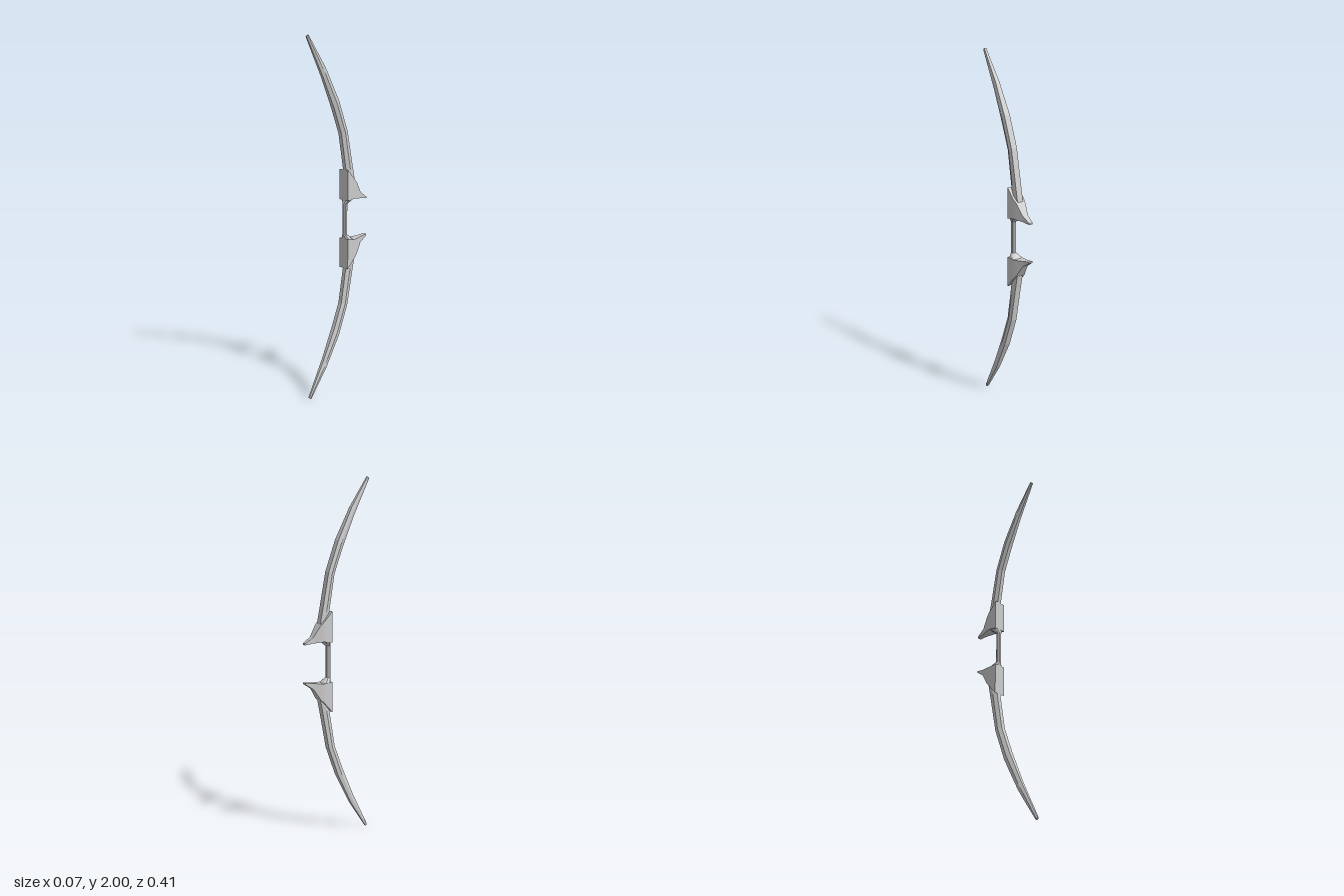
import * as THREE from 'three';

const material = new THREE.MeshStandardMaterial({ color: 0xcccccc, flatShading: true });

// Skins a list of rings (counter-clockwise about the direction of travel) and caps both ends
function loft(name, rings) {
  const n = rings[0].length, pos = [];
  const tri = (a, b, c) => pos.push(...a, ...b, ...c);
  for (let i = 0; i < rings.length - 1; i++) {
    for (let j = 0; j < n; j++) {
      const k = (j + 1) % n, p = rings[i], q = rings[i + 1];
      tri(p[j], p[k], q[k]);
      tri(p[j], q[k], q[j]);
    }
  }
  const first = rings[0], last = rings[rings.length - 1];
  for (let j = 1; j < n - 1; j++) {
    tri(first[0], first[j + 1], first[j]);
    tri(last[0], last[j], last[j + 1]);
  }
  const geometry = new THREE.BufferGeometry();
  geometry.setAttribute('position', new THREE.Float32BufferAttribute(pos, 3));
  geometry.computeVertexNormals();
  const mesh = new THREE.Mesh(geometry, material);
  mesh.name = name;
  return mesh;
}

// Mirrors rings about the middle height; reversing their order keeps faces outward
const mirrored = (rings) => rings.map((r) => r.map(([x, y, z]) => [x, 2 - y, z])).reverse();

// Limb stations: front z, front y, back z, back y, half width
const limbStations = [
  [-0.068, 1.18, -0.118, 1.2, 0.023],
  [-0.055, 1.28, -0.1, 1.29, 0.023],
  [-0.022, 1.48, -0.062, 1.49, 0.023],
  [0.03, 1.62, 0.0, 1.66, 0.023],
  [0.105, 1.79, 0.088, 1.835, 0.016],
  [0.206, 1.99, 0.195, 2.0, 0.008],
];
// Six-sided section with bevelled sides
const limbRings = limbStations.map(([fz, fy, bz, by, w]) => {
  const my = (fy + by) / 2, mz = (fz + bz) / 2;
  const f = w * 0.55, b = w * 0.8;
  return [[f, fy, fz], [w, my, mz], [b, by, bz], [-b, by, bz], [-w, my, mz], [-f, fy, fz]];
});

// Collar with rearward spur: z, bottom y, top y, half width
const collarRings = [
  [-0.05, 1.11, 1.28, 0.035],
  [-0.1, 1.116, 1.225, 0.035],
  [-0.12, 1.114, 1.205, 0.03],
  [-0.16, 1.11, 1.143, 0.018],
  [-0.208, 1.103, 1.112, 0.012],
].map(([z, lo, hi, w]) => [[w, hi, z], [w, lo, z], [-w, lo, z], [-w, hi, z]]);

// Grip with flared ends: y, half width, front z, back z
const gripRings = [
  [0.885, 0.033, -0.051, -0.1],
  [0.895, 0.026, -0.05, -0.09],
  [0.912, 0.013, -0.045, -0.07],
  [1.088, 0.013, -0.045, -0.07],
  [1.105, 0.026, -0.05, -0.09],
  [1.115, 0.033, -0.051, -0.1],
].map(([y, w, f, b]) => {
  const cx = w * 0.5, cz = (f - b) * 0.25;
  return [
    [cx, y, f], [w, y, f - cz], [w, y, b + cz], [cx, y, b],
    [-cx, y, b], [-w, y, b + cz], [-w, y, f - cz], [-cx, y, f],
  ];
});

export function createModel() {
  const bow = new THREE.Group();
  bow.name = 'bow';
  bow.add(
    loft('grip', gripRings),
    loft('upperCollar', collarRings),
    loft('lowerCollar', mirrored(collarRings)),
    loft('upperLimb', limbRings),
    loft('lowerLimb', mirrored(limbRings)),
  );
  return bow;
}
